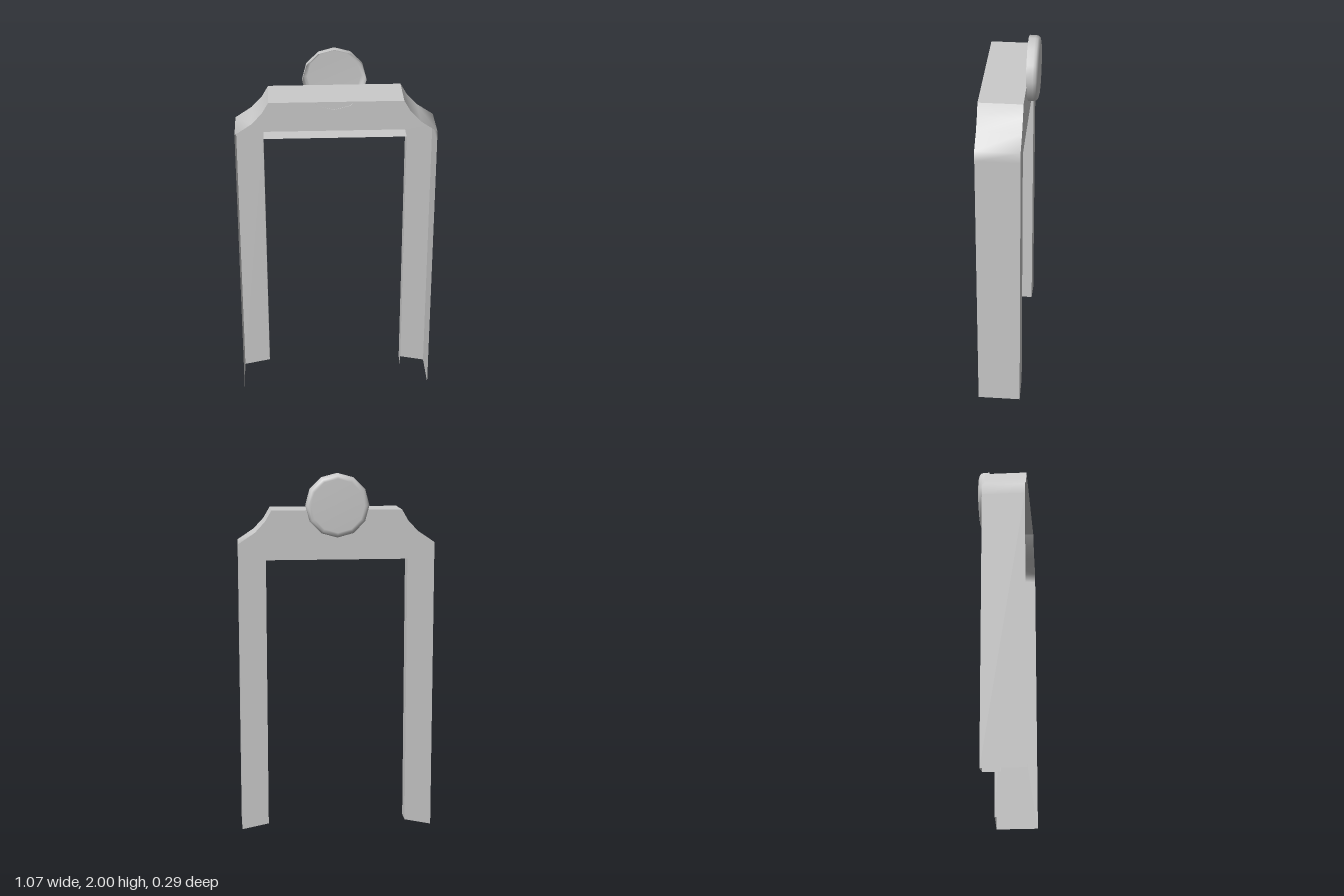
import * as THREE from 'three';
import { toCreasedNormals } from 'three/addons/utils/BufferGeometryUtils.js';

const BACK = -0.088;
const material = new THREE.MeshStandardMaterial({ color: 0xcccccc, side: THREE.DoubleSide });

function addPart(group, name, geometry) {
  const mesh = new THREE.Mesh(geometry, material);
  mesh.name = name;
  group.add(mesh);
  return mesh;
}

// Thin wall that follows an open x/y path and reaches from the back to zFront
function flange(path, zFront) {
  const positions = [];
  const index = [];
  path.forEach(([x, y], i) => {
    positions.push(x, y, BACK, x, y, zFront);
    if (i > 0) {
      const a = 2 * (i - 1);
      index.push(a, a + 2, a + 1, a + 1, a + 2, a + 3);
    }
  });
  const geometry = new THREE.BufferGeometry();
  geometry.setAttribute('position', new THREE.Float32BufferAttribute(positions, 3));
  geometry.setIndex(index);
  return toCreasedNormals(geometry, 1.0);
}

// Mirror a half path (from +x foot to the top) into the full arch path, running right to left
function mirrored(half) {
  return [...half, ...half.map(([x, y]) => [-x, y]).reverse()];
}

export function createModel() {
  const group = new THREE.Group();
  group.name = 'archFrame';

  // Outer outline with scooped shoulders, and the doorway outline
  const outer = mirrored([[0.537, 0], [0.537, 1.56], [0.537, 1.62], [0.447, 1.68], [0.391, 1.74], [0.356, 1.8]]);
  const inner = mirrored([[0.388, 0.03], [0.388, 1.53]]);

  // Back plate, facing -z
  const outline = [...outer, ...inner.slice().reverse()].map(([x, y]) => new THREE.Vector2(-x, y));
  const plate = new THREE.ShapeGeometry(new THREE.Shape(outline));
  plate.rotateY(Math.PI).translate(0, 0, BACK);
  addPart(group, 'backPlate', plate);

  // Deep outer flange and shallow flange around the doorway, open at front and bottom
  addPart(group, 'outerFlange', flange(outer, 0.146));
  addPart(group, 'doorwayFlange', flange(inner.slice().reverse(), 0.006));

  // Hollow twelve-sided cap on the back, open towards the front
  const profile = [[0.173, 0], [0.173, 0.035], [0.169, 0.049], [0.16, 0.058], [0.145, 0.062], [0, 0.062]]
    .map(([r, h]) => new THREE.Vector2(r, h));
  const cap = new THREE.LatheGeometry(profile, 12);
  cap.rotateX(-Math.PI / 2);
  addPart(group, 'roundCap', cap).position.set(0, 1.827, -0.085);

  return group;
}
